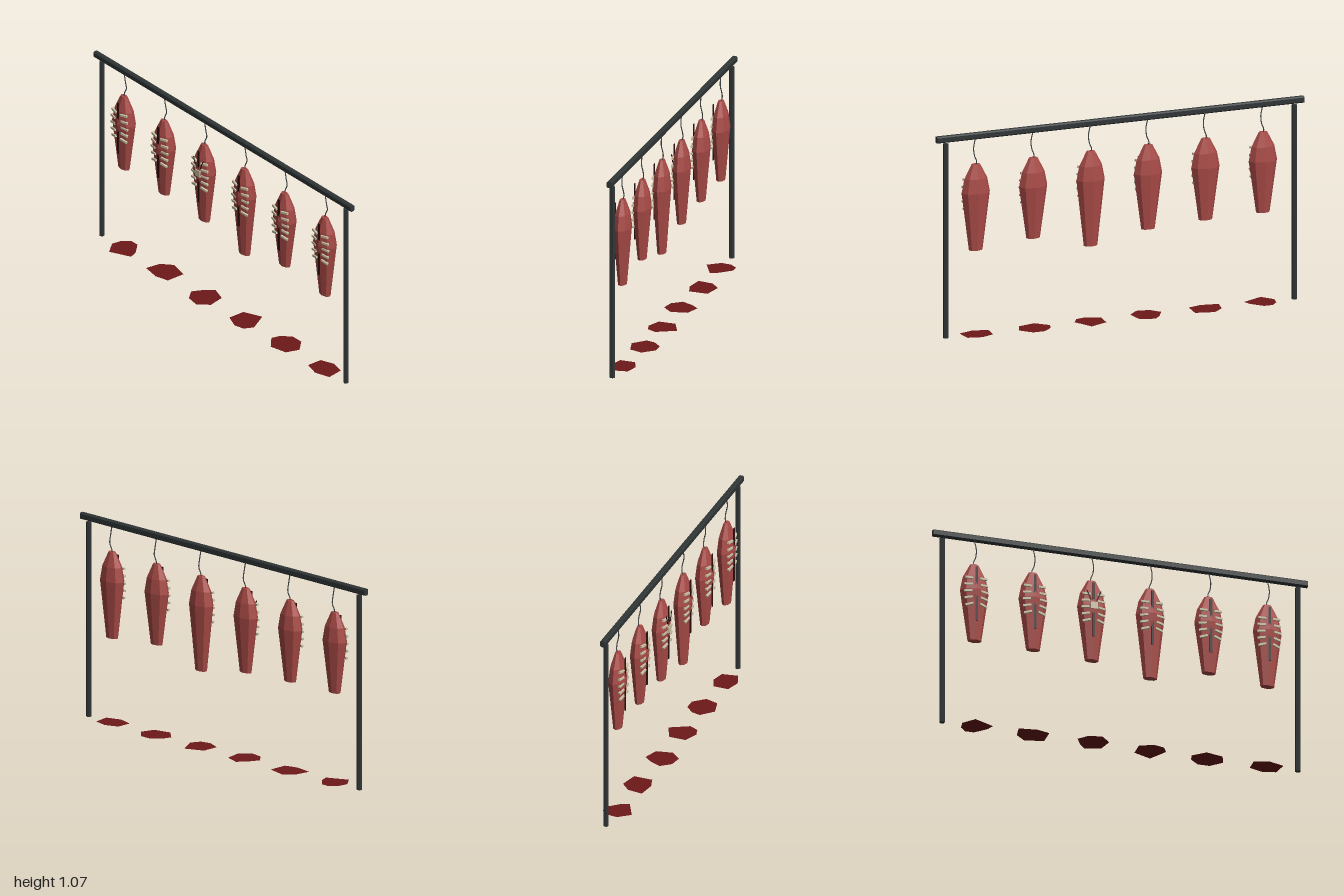
import * as THREE from 'three';

const mat = (name, color) => {
  const m = new THREE.MeshStandardMaterial({ color });
  m.name = name;
  return m;
};

// Faceted normals for low-poly parts
function flat(geometry) {
  const g = geometry.index ? geometry.toNonIndexed() : geometry;
  g.computeVertexNormals();
  return g;
}

function add(parent, name, geometry, material, x = 0, y = 0, z = 0) {
  const mesh = new THREE.Mesh(geometry, material);
  mesh.name = name;
  mesh.position.set(x, y, z);
  parent.add(mesh);
  return mesh;
}

export function createModel() {
  const steel = mat('dark steel', 0x303536);
  const wire = mat('hook metal', 0x45494a);
  const meat = mat('meat red', 0xa84a46);
  const bone = mat('bone', 0xcbc5a6);
  const cut = mat('dark cut', 0x2c0d0e);
  const blood = mat('dried blood', 0x6e1818);
  blood.side = THREE.DoubleSide;

  const model = new THREE.Group();
  model.name = 'meatRack';

  // Overhead rail with chamfered corners
  const w = 0.014, h = 0.017, c = 0.006;
  const section = new THREE.Shape([
    [-w + c, -h], [w - c, -h], [w, -h + c], [w, h - c],
    [w - c, h], [-w + c, h], [-w, h - c], [-w, -h + c],
  ].map(([x, y]) => new THREE.Vector2(x, y)));
  const railGeo = new THREE.ExtrudeGeometry(section, { depth: 2, bevelEnabled: false });
  railGeo.translate(0, 0, -1).rotateY(Math.PI / 2);
  add(model, 'rail', railGeo, steel, 0, 1.054, 0);

  // Hexagonal end posts
  const postGeo = flat(new THREE.CylinderGeometry(0.014, 0.014, 1.03, 6));
  for (const s of [-1, 1]) add(model, 'post', postGeo, steel, s * 0.95, 0.515, 0);

  // Bent wire hook
  const hookPath = new THREE.CatmullRomCurve3([
    [0, 1.045, 0], [0.011, 0.99, 0], [0.009, 0.95, -0.008], [-0.003, 0.92, -0.006], [0, 0.895, 0],
  ].map((p) => new THREE.Vector3(...p)));
  const hookGeo = new THREE.TubeGeometry(hookPath, 14, 0.003, 5);

  const slitGeo = new THREE.BoxGeometry(0.013, 0.3, 0.004);
  const ribGeo = new THREE.BoxGeometry(0.042, 0.011, 0.011);
  const prongGeo = new THREE.CylinderGeometry(0.003, 0.003, 0.055, 5);

  // Lowest point of each carcass, and the stain outline below it (x, z in hundredths)
  const bottoms = [0.48, 0.475, 0.46, 0.405, 0.48, 0.45];
  const stains = [
    [-6, -3.5, -2.7, -7.2, 2.1, -7.2, 7.5, -1.3, 9, 3, -2, 8.3, -7, 2],
    [-9, 4.5, -7.5, -3.5, -2, -8.3, 8, -6, 7.5, 4, 0.5, 6],
    [-8, 2, -4.8, -4, -1, -8.3, 7, -5.6, 8.5, 3, 3.2, 8.3, -3.7, 7.2],
    [-7.2, 4, -6.7, -5, 3, -9.2, 8.3, 0.8, 5.6, 5.6, 0.3, 7],
    [-9.5, 0.8, -8, -4, -3.2, -8.3, 3.2, -8.3, 8.6, -2.4, 6, 4.5, -3.2, 6.7],
    [-8.5, 4, -8, -4, -1, -6.7, 6.4, -5, 7.5, 3.5, -0.5, 6.2],
  ];

  bottoms.forEach((bottom, i) => {
    const x = -0.778 + 0.3128 * i;
    const carcass = new THREE.Group();
    carcass.name = 'carcass' + (i + 1);
    carcass.position.x = x;
    model.add(carcass);

    // Tapered eight-sided body, flattened front to back
    const profile = [
      [0, bottom], [0.037, bottom], [0.077, 0.755], [0.062, 0.83], [0.023, 0.905], [0, 0.905],
    ].map(([r, y]) => new THREE.Vector2(r, y));
    const body = new THREE.LatheGeometry(profile, 8);
    body.scale(1, 1, 0.6);
    add(carcass, 'body', flat(body), meat);
    add(carcass, 'hook', hookGeo, wire);

    // Belly cut and ribs either side of it
    add(carcass, 'bellyCut', slitGeo, cut, 0, 0.73, 0.04);
    for (const s of [-1, 1]) {
      for (let k = 0; k < 5; k++) {
        const rib = add(carcass, 'rib', ribGeo, bone,
          s * (0.037 + 0.006 * Math.sin((k / 4) * Math.PI)), 0.817 - 0.037 * k, 0.034);
        rib.rotation.z = s * (0.1 - 0.09 * k);
        rib.rotation.y = s * 0.2;
      }
    }

    // One carcass carries a tag with two prongs
    if (i === 2) {
      add(carcass, 'tag', new THREE.BoxGeometry(0.037, 0.037, 0.01), bone, 0, 0.752, 0.043);
      for (const s of [-1, 1]) {
        add(carcass, 'prong', prongGeo, cut, s * 0.027, 0.81, 0.041).rotation.z = -s * 0.4;
      }
    }

    // Floor stain
    const outline = [];
    const pts = stains[i];
    for (let k = 0; k < pts.length; k += 2) {
      outline.push(new THREE.Vector2(pts[k] / 100, -pts[k + 1] / 100));
    }
    const stain = new THREE.ShapeGeometry(new THREE.Shape(outline));
    stain.rotateX(-Math.PI / 2);
    add(model, 'floorStain', stain, blood, x, 0.004, 0);
  });

  return model;
}
